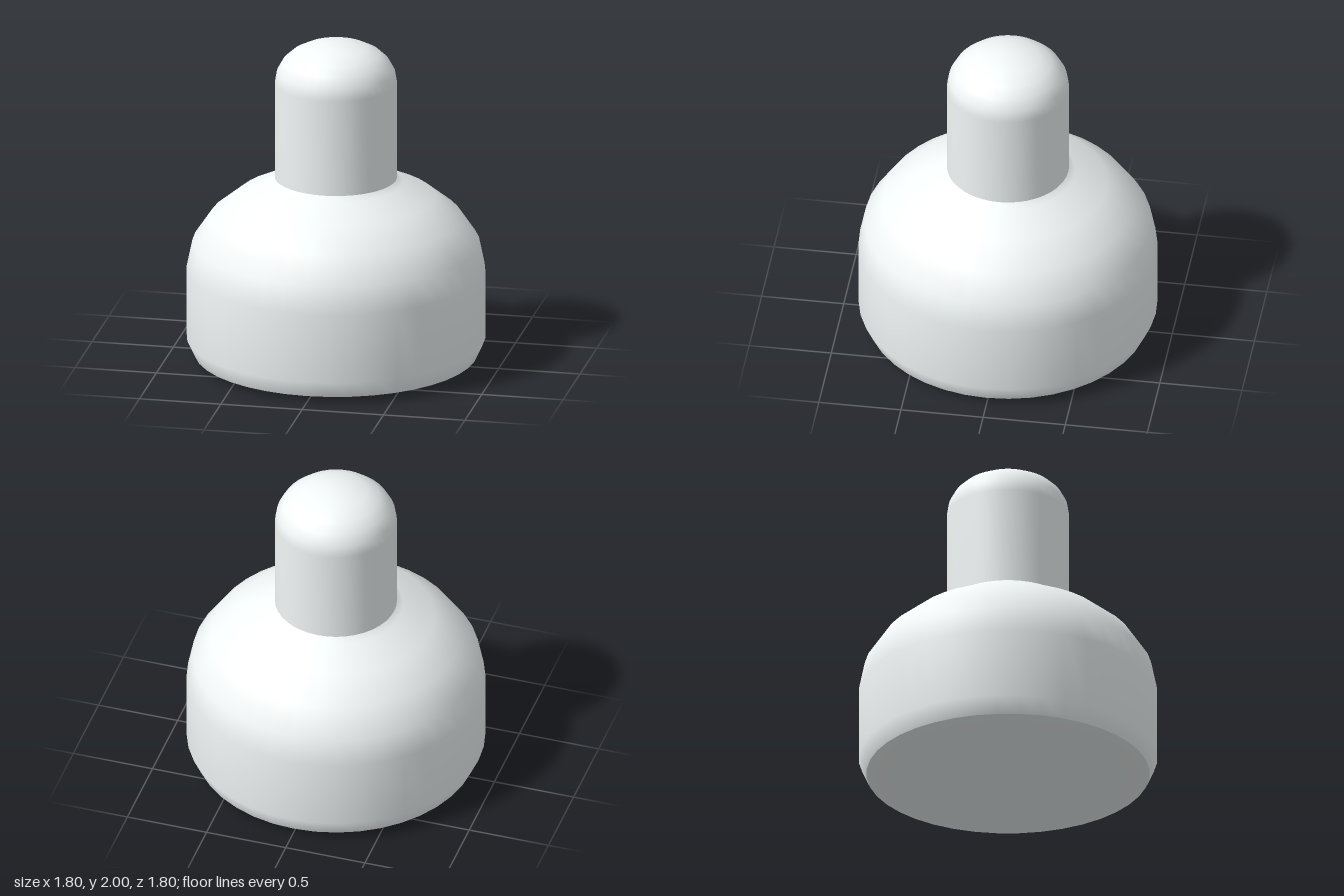
import * as THREE from 'three';
import { mergeVertices } from 'three/addons/utils/BufferGeometryUtils.js';

export function createModel() {
  const group = new THREE.Group();
  const material = new THREE.MeshStandardMaterial({ color: 0xf1f6f6 });

  // Each part is a profile of [radius, height] turned around y, bottom to top,
  // then welded so the normals blend evenly across the seam and poles
  const turn = (name, profile) => {
    const points = profile.map(([r, y]) => new THREE.Vector2(r, y));
    const lathe = new THREE.LatheGeometry(points, 40);
    lathe.deleteAttribute('uv');
    lathe.deleteAttribute('normal');
    const geometry = mergeVertices(lathe, 1e-4);
    geometry.computeVertexNormals();
    const mesh = new THREE.Mesh(geometry, material);
    mesh.name = name;
    group.add(mesh);
  };

  // Shallow underside, meeting the body at a crisp edge
  turn('underside', [[0, 0], [0.73, 0], [0.853, 0.037]]);

  // Wide body with rounded shoulder
  turn('body', [
    [0.853, 0.037], [0.9, 0.14], [0.9, 0.57], [0.865, 0.74], [0.757, 0.9],
    [0.595, 1.03], [0.405, 1.12], [0.368, 1.15],
  ]);

  // Straight neck with a domed top
  turn('neck', [
    [0.368, 1.15], [0.368, 1.75], [0.356, 1.82], [0.32, 1.885],
    [0.265, 1.935], [0.19, 1.973], [0.09, 1.996], [0, 2],
  ]);

  return group;
}
